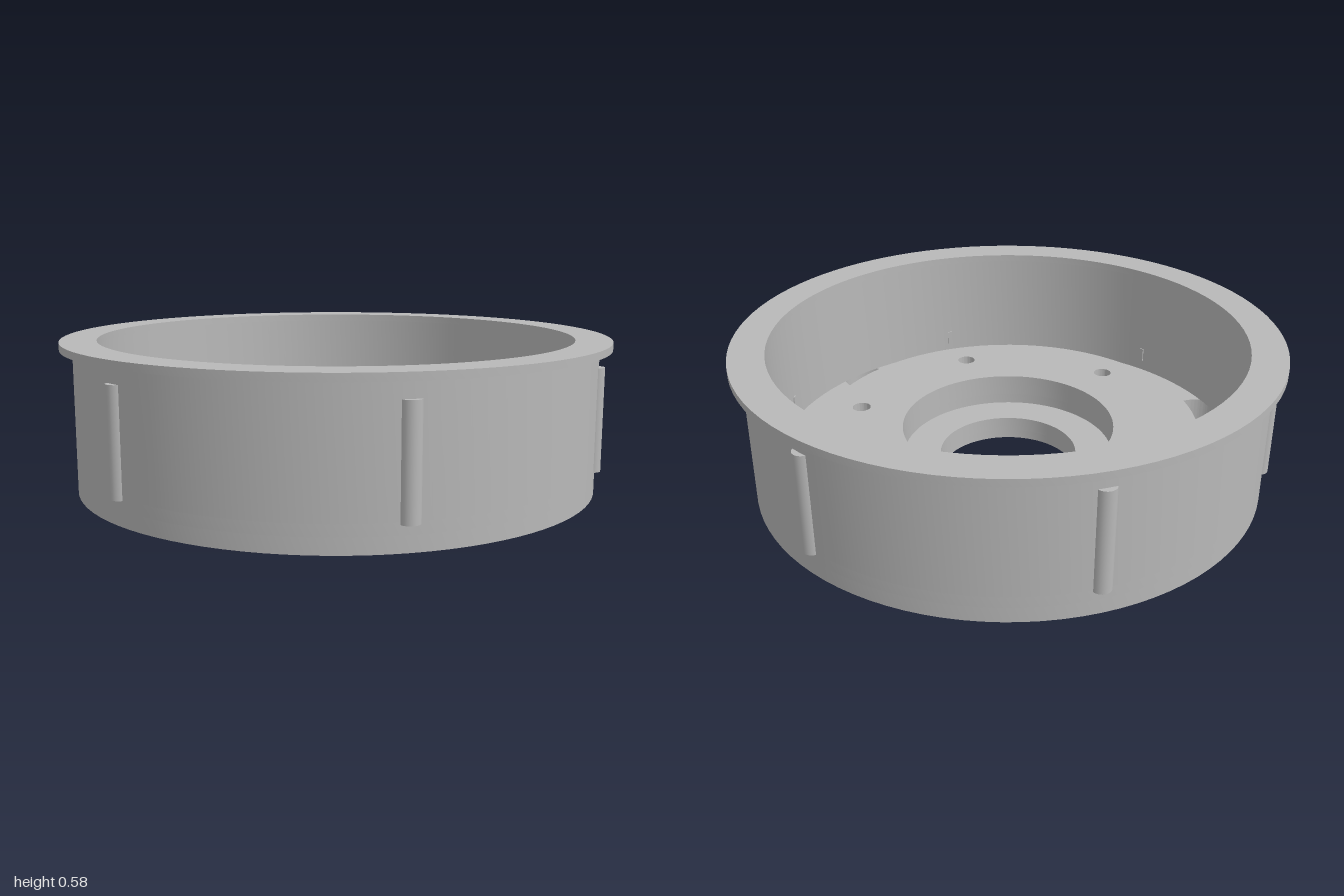
import * as THREE from 'three';
import { toCreasedNormals } from 'three/addons/utils/BufferGeometryUtils.js';

const STEP = Math.PI / 3;
const HUB = 0.26, POCKET = 0.4, DISC = 0.72, INNER = 0.87, OUTER = 0.955;
const SLOT_HALF = 0.1, SLOT_IN = 0.503, SLOT_OUT = 0.815; // centres of the slot's round ends

function circle(r, x = 0, y = 0, Type = THREE.Path) {
  return new Type().absarc(x, y, r, 0, Math.PI * 2, false);
}

// six equal round holes, half a step away from the slots
function holeRing(radius, r) {
  return Array.from({ length: 6 }, (_, i) => {
    const a = (i + 0.5) * STEP;
    return circle(r, radius * Math.cos(a), radius * Math.sin(a));
  });
}

// six radial slots with round ends
function slots() {
  return Array.from({ length: 6 }, (_, i) => {
    const a = i * STEP, c = Math.cos(a), s = Math.sin(a), q = Math.PI / 2;
    const p = new THREE.Path();
    p.absarc(SLOT_OUT * c, SLOT_OUT * s, SLOT_HALF, a - q, a + q, false);
    p.absarc(SLOT_IN * c, SLOT_IN * s, SLOT_HALF, a + q, a + 3 * q, false);
    p.closePath();
    return p;
  });
}

// disc outline with the slots cut in from its rim
function notchedDisc(r) {
  const shape = new THREE.Shape();
  const half = Math.asin(SLOT_HALF / r), q = Math.PI / 2;
  for (let i = 0; i < 6; i++) {
    const a = i * STEP;
    shape.absarc(SLOT_IN * Math.cos(a), SLOT_IN * Math.sin(a), SLOT_HALF, a - q, a - 3 * q, true);
    shape.absarc(0, 0, r, a + half, a + STEP - half, false);
  }
  shape.closePath();
  return shape;
}

export function createModel() {
  const group = new THREE.Group();
  const metal = new THREE.MeshStandardMaterial({ color: 0xb8b8b8 });
  metal.name = 'grey metal';

  function add(name, geometry) {
    const mesh = new THREE.Mesh(geometry, metal);
    mesh.name = name;
    group.add(mesh);
    return mesh;
  }

  // horizontal plate between two heights
  function plate(name, shape, holes, y0, y1) {
    shape.holes.push(...holes);
    const g = new THREE.ExtrudeGeometry(shape, { depth: y1 - y0, bevelEnabled: false, curveSegments: 48 });
    g.rotateX(-Math.PI / 2);
    g.translate(0, y0, 0);
    return add(name, toCreasedNormals(g, 0.5));
  }
  const disc = (r) => circle(r, 0, 0, THREE.Shape);
  const bolts = () => holeRing(0.588, 0.035);
  const rimHoles = () => holeRing(0.91, 0.022);

  // floor, from the bottom up
  plate('bottomBoss', notchedDisc(DISC), [circle(HUB), ...bolts()], 0, 0.035);
  plate('lowerFloor', disc(OUTER), [circle(HUB), ...slots(), ...bolts(), ...rimHoles()], 0.035, 0.09);
  plate('upperFloor', disc(OUTER), [circle(POCKET), ...slots(), ...bolts(), ...rimHoles()], 0.09, 0.13);
  plate('raisedDisc', disc(DISC), [circle(POCKET), ...bolts()], 0.13, 0.212);

  // drum wall and top flange
  plate('drumWall', disc(OUTER), [circle(INNER)], 0.13, 0.55);
  plate('topFlange', disc(1), [circle(INNER)], 0.55, 0.577);

  // round ribs half sunk in the wall, with a small tab on the inside
  for (let i = 0; i < 6; i++) {
    const a = (i + 0.5) * STEP;
    const rib = add('sideRib', new THREE.CylinderGeometry(0.035, 0.035, 0.37, 24));
    rib.position.set(0.941 * Math.cos(a), 0.307, 0.941 * Math.sin(a));
    const tab = add('innerTab', new THREE.BoxGeometry(0.008, 0.055, 0.018));
    tab.position.set(0.869 * Math.cos(a), 0.2, 0.869 * Math.sin(a));
    tab.rotation.y = -a;
  }
  return group;
}
